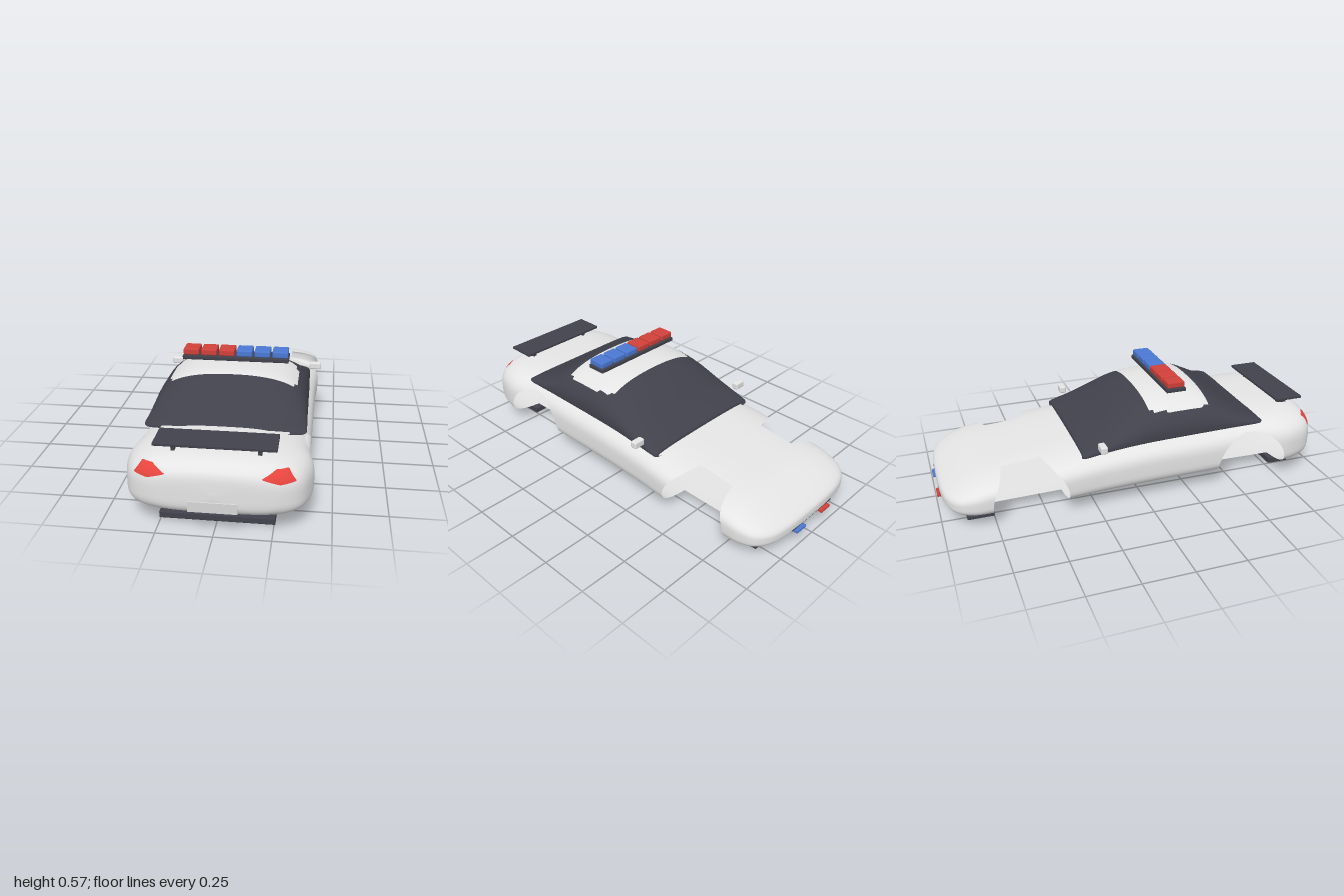
import * as THREE from 'three';
import { RoundedBoxGeometry } from 'three/addons/geometries/RoundedBoxGeometry.js';

const mat = (name, color, side = THREE.FrontSide) => {
  const m = new THREE.MeshStandardMaterial({ color, side });
  m.name = name;
  return m;
};

// Smooth closed skin through cross-sections [z, halfWidth, top, widestY, bottom]
function loft(rows, rings, segs, nTop, nBottom) {
  const a = new THREE.CatmullRomCurve3(rows.map(r => new THREE.Vector3(r[1], r[2], r[0])), false, 'catmullrom', 0.5);
  const b = new THREE.CatmullRomCurve3(rows.map(r => new THREE.Vector3(r[3], r[4], r[0])), false, 'catmullrom', 0.5);
  const pos = [], index = [];
  for (let i = 0; i <= rings; i++) {
    const p = a.getPoint(i / rings), q = b.getPoint(i / rings);
    for (let j = 0; j <= segs; j++) {
      const t = -Math.PI / 2 + (j / segs) * Math.PI * 2;
      const c = Math.cos(t), s = Math.sin(t);
      const e = 2 / (s > 0 ? nTop : nBottom);
      const h = s > 0 ? p.y - q.x : q.x - q.y;
      pos.push(Math.max(p.x, 0) * Math.sign(c) * Math.abs(c) ** e, q.x + h * Math.sign(s) * Math.abs(s) ** e, p.z);
      if (i < rings && j < segs) {
        const k = i * (segs + 1) + j, m = k + segs + 1;
        index.push(k, k + 1, m, k + 1, m + 1, m);
      }
    }
  }
  const g = new THREE.BufferGeometry();
  g.setAttribute('position', new THREE.Float32BufferAttribute(pos, 3));
  g.setIndex(index);
  g.computeVertexNormals();
  return g;
}

// Keeps the part of a surface where f(point) > 0
function clip(geo, f) {
  const P = geo.attributes.position, N = geo.attributes.normal, I = geo.index;
  const pos = [], nor = [];
  const vert = i => {
    const p = new THREE.Vector3().fromBufferAttribute(P, i);
    return { p, n: new THREE.Vector3().fromBufferAttribute(N, i), keep: f(p) > 0 };
  };
  const cross = (u, v) => {
    let lo = 0, hi = 1;
    for (let k = 0; k < 12; k++) {
      const mid = (lo + hi) / 2;
      if ((f(u.p.clone().lerp(v.p, mid)) > 0) === u.keep) lo = mid; else hi = mid;
    }
    return { p: u.p.clone().lerp(v.p, lo), n: u.n.clone().lerp(v.n, lo).normalize() };
  };
  for (let i = 0; i < I.count; i += 3) {
    const tri = [0, 1, 2].map(k => vert(I.getX(i + k)));
    const poly = [];
    tri.forEach((u, k) => {
      const v = tri[(k + 1) % 3];
      if (u.keep) poly.push(u);
      if (u.keep !== v.keep) poly.push(cross(u, v));
    });
    for (let k = 2; k < poly.length; k++) {
      for (const w of [poly[0], poly[k - 1], poly[k]]) {
        pos.push(w.p.x, w.p.y, w.p.z);
        nor.push(w.n.x, w.n.y, w.n.z);
      }
    }
  }
  const g = new THREE.BufferGeometry();
  g.setAttribute('position', new THREE.Float32BufferAttribute(pos, 3));
  g.setAttribute('normal', new THREE.Float32BufferAttribute(nor, 3));
  return g;
}

export function createModel() {
  const car = new THREE.Group();
  car.name = 'patrolCar';
  const paint = mat('bodyPaint', 0xe4e4e4, THREE.DoubleSide);
  const dark = mat('darkGlassAndTrim', 0x41414c, THREE.DoubleSide);
  const red = mat('redLens', 0xd0403a);
  const blue = mat('blueLens', 0x4a78d2);
  const tailRed = mat('tailLampRed', 0xe8453f, THREE.DoubleSide);
  const plateGrey = mat('plateGrey', 0xd6d6d6);

  const add = (name, geo, material) => {
    const m = new THREE.Mesh(geo, material);
    m.name = name;
    car.add(m);
    return m;
  };
  // Box from its extents, with slightly rounded edges
  const box = (name, material, x0, x1, y0, y1, z0, z1, r = 0.004) => {
    const m = add(name, new RoundedBoxGeometry(x1 - x0, y1 - y0, z1 - z0, 2, r), material);
    m.position.set((x0 + x1) / 2, (y0 + y1) / 2, (z0 + z1) / 2);
  };

  // Hollow body shell
  const hull = loft([
    [-0.99, 0.0, 0.125, 0.12, 0.115],
    [-0.985, 0.17, 0.145, 0.12, 0.095],
    [-0.965, 0.28, 0.163, 0.12, 0.08],
    [-0.92, 0.35, 0.187, 0.125, 0.063],
    [-0.85, 0.382, 0.216, 0.13, 0.052],
    [-0.76, 0.392, 0.242, 0.14, 0.05],
    [-0.6, 0.395, 0.262, 0.15, 0.052],
    [-0.4, 0.4, 0.285, 0.16, 0.055],
    [-0.2, 0.392, 0.306, 0.17, 0.058],
    [0.05, 0.39, 0.323, 0.18, 0.06],
    [0.3, 0.39, 0.332, 0.18, 0.063],
    [0.5, 0.39, 0.34, 0.18, 0.065],
    [0.65, 0.4, 0.347, 0.18, 0.063],
    [0.76, 0.414, 0.349, 0.18, 0.063],
    [0.85, 0.4, 0.347, 0.18, 0.07],
    [0.92, 0.368, 0.335, 0.185, 0.083],
    [0.965, 0.305, 0.31, 0.19, 0.102],
    [0.988, 0.21, 0.275, 0.19, 0.13],
    [0.995, 0.0, 0.2, 0.19, 0.18],
  ], 162, 120, 3.2, 4);

  // Wheel openings: positive outside both axles' cylinders or near the centre line
  const outsideWells = p => Math.max(0.235 - Math.abs(p.x),
    Math.min(...[0.585, -0.58].map(z => Math.hypot(p.z - z, p.y - 0.1) - 0.185)));

  // Tail lamp outline, positive inside, mirrored by |x|
  const lampPoints = [[0.2, 0.28], [0.28, 0.255], [0.345, 0.26], [0.31, 0.307], [0.26, 0.31]];
  const inLamp = p => Math.min(p.z - 0.8, ...lampPoints.map(([x, y], i) => {
    const [u, v] = lampPoints[(i + 1) % lampPoints.length];
    return (u - x) * (p.y - y) - (v - y) * (Math.abs(p.x) - x);
  }));
  add('bodyShell', clip(hull, p => Math.min(outsideWells(p), -inLamp(p))), paint);
  add('tailLamps', clip(hull, inLamp), tailRed);

  // Glass cabin with a painted, stepped roof panel
  const cabin = loft([
    [-0.315, 0.335, 0.297, 0.28, 0.268],
    [-0.3, 0.352, 0.318, 0.282, 0.265],
    [-0.2, 0.358, 0.362, 0.3, 0.28],
    [-0.1, 0.36, 0.422, 0.31, 0.295],
    [0.0, 0.362, 0.474, 0.32, 0.3],
    [0.1, 0.364, 0.501, 0.325, 0.305],
    [0.2, 0.365, 0.507, 0.328, 0.308],
    [0.35, 0.367, 0.498, 0.332, 0.312],
    [0.45, 0.368, 0.452, 0.334, 0.315],
    [0.55, 0.37, 0.391, 0.335, 0.318],
    [0.62, 0.37, 0.356, 0.336, 0.32],
    [0.645, 0.355, 0.342, 0.335, 0.325],
  ], 99, 96, 2.4, 4);
  const rect = (p, x, z0, z1) => Math.min(x - Math.abs(p.x), p.z - z0, z1 - p.z);
  const inRoof = p => Math.min(p.y - 0.4,
    Math.max(rect(p, 0.277, 0.05, 0.365), rect(p, 0.297, 0.07, 0.365), rect(p, 0.312, 0.135, 0.335)));
  add('cabinGlass', clip(cabin, p => -inRoof(p)), dark);
  add('roofPanel', clip(cabin, inRoof), paint);

  // Emergency light bar
  box('lightBarBase', dark, -0.262, 0.262, 0.518, 0.538, 0.15, 0.253);
  for (let i = 0; i < 6; i++) {
    const x = (i - 2.5) * 0.0878;
    box('lightBarLamp', i < 3 ? red : blue, x - 0.039, x + 0.039, 0.539, 0.571, 0.156, 0.246, 0.007);
  }

  // Rear wing, diffuser, front splitter
  box('rearWing', dark, -0.262, 0.262, 0.382, 0.396, 0.78, 0.93, 0.003);
  box('diffuser', dark, -0.256, 0.256, 0.007, 0.038, 0.77, 0.885);
  box('frontSplitter', dark, -0.28, 0.28, 0.003, 0.022, -0.88, -0.748);
  for (const s of [-1, 1]) {
    const x = s * 0.186;
    box('wingPost', dark, x - 0.009, x + 0.009, 0.335, 0.386, 0.825, 0.88, 0.002);
    // Door mirrors
    const m = s * 0.386;
    box('mirror', paint, m - 0.031, m + 0.031, 0.318, 0.355, -0.242, -0.207, 0.008);
  }

  // Number plate, grille slot and nose flashers
  box('plate', plateGrey, -0.106, 0.106, 0.119, 0.168, 0.94, 1.0, 0.001);
  box('grilleSlot', dark, -0.16, 0.16, 0.1, 0.106, -0.988, -0.96, 0.001);
  box('redFlasher', red, -0.138, -0.068, 0.077, 0.09, -1.0, -0.965, 0.002);
  box('blueFlasher', blue, 0.062, 0.132, 0.077, 0.09, -1.0, -0.965, 0.002);
  return car;
}
